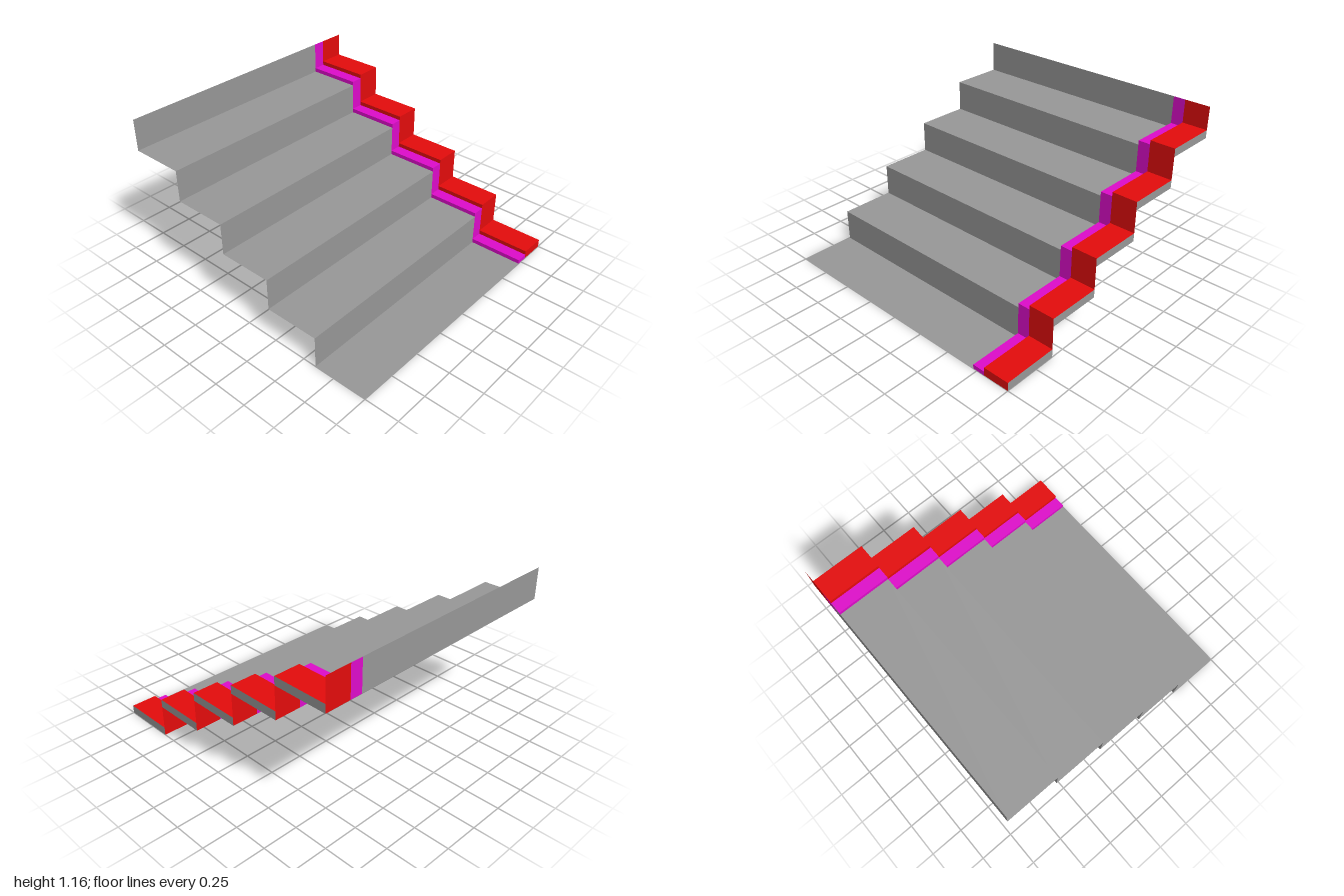
import * as THREE from 'three';

const STEPS = 5, RUN = 0.4, RISE = 0.2315;

export function createModel() {
  const mat = (name, color) => {
    const m = new THREE.MeshStandardMaterial({ color, side: THREE.DoubleSide });
    m.name = name;
    return m;
  };
  const grey = mat('concrete grey', 0x999999);
  const red = mat('kerb red', 0xe60c0c);
  const magenta = mat('kerb magenta', 0xe00ccc);
  const model = new THREE.Group();
  model.name = 'steppedSheet';

  // flat panels facing up (+y), along x (+x) and front or back (z)
  const add = (parent, name, geo, material, x, y, z) => {
    const mesh = new THREE.Mesh(geo, material);
    mesh.name = name;
    mesh.position.set(x, y, z);
    parent.add(mesh);
  };
  const tread = (w, d) => new THREE.PlaneGeometry(w, d).rotateX(-Math.PI / 2);
  const riser = (d, h) => new THREE.PlaneGeometry(d, h).rotateY(Math.PI / 2);
  const face = (w, h) => new THREE.PlaneGeometry(w, h);

  // bands from front to back, each lying a little higher on the step
  const bands = [
    { name: 'slope', material: grey, z0: 1, z1: -0.72, lift: 0, below: 0 },
    { name: 'innerKerb', material: magenta, z0: -0.72, z1: -0.81, lift: 0.03, below: 0 },
    { name: 'outerKerb', material: red, z0: -0.81, z1: -1, lift: 0.06, below: 0.03 },
  ];

  for (const b of bands) {
    const group = new THREE.Group();
    group.name = b.name;
    model.add(group);
    const depth = b.z0 - b.z1, zMid = (b.z0 + b.z1) / 2;
    for (let i = 0; i < STEPS; i++) {
      const xr = 1 - i * RUN, x = xr - RUN / 2, y = i * RISE;
      add(group, 'tread', tread(RUN, depth), b.material, x, y + b.lift, zMid);
      add(group, 'riser', riser(depth, RISE), b.material, xr - RUN, y + RISE / 2, zMid);
      if (b.lift) {
        // small upright lip at the front of each kerb band
        const h = b.lift - b.below;
        add(group, 'lip', face(RUN, h), b.material, x, y + b.below + h / 2, b.z0);
        // closed end, flush with the riser beneath
        add(group, 'end', riser(depth, b.lift), b.material, xr, y + b.lift / 2, zMid);
      }
    }
  }

  // grey strips closing the back edge of each step
  const back = new THREE.Group();
  back.name = 'backEdge';
  model.add(back);
  for (let i = 0; i < STEPS; i++) {
    add(back, 'edgeStrip', face(RUN, 0.06).rotateY(Math.PI), grey,
      1 - (i + 0.5) * RUN, i * RISE + 0.03, -1);
  }
  return model;
}
